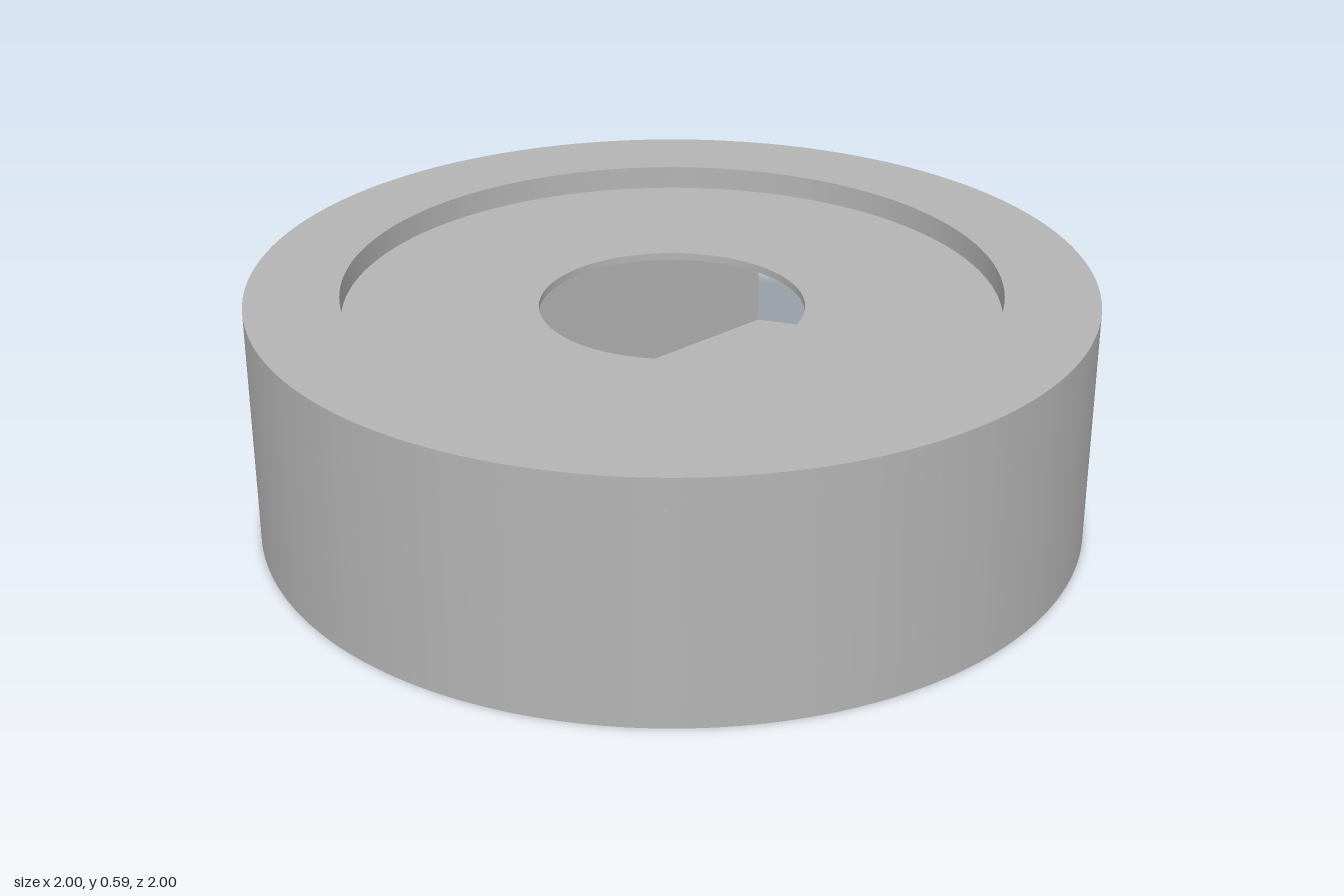
import * as THREE from 'three';
import { toCreasedNormals } from 'three/addons/utils/BufferGeometryUtils.js';

const SEGMENTS = 128;
const OUTER = 1;
const SLOT_HALF = 0.555; // half width of the slot open at the back
const SLOT_END = 0.52; // z of the slot's closed front wall

// Disc outline, with an optional round hole
function disc(holeRadius = 0) {
  const shape = new THREE.Shape().absarc(0, 0, OUTER, 0, Math.PI * 2, false);
  if (holeRadius) shape.holes.push(new THREE.Path().absarc(0, 0, holeRadius, 0, Math.PI * 2, true));
  return shape;
}

// Disc outline cut by a straight-walled slot (shape y is -z)
function slottedDisc() {
  const angle = Math.acos(SLOT_HALF / OUTER);
  const shape = new THREE.Shape();
  shape.absarc(0, 0, OUTER, angle, Math.PI - angle, true);
  shape.lineTo(-SLOT_HALF, -SLOT_END);
  shape.lineTo(SLOT_HALF, -SLOT_END);
  shape.closePath();
  return shape;
}

export function createModel() {
  const group = new THREE.Group();
  group.name = 'slottedHousing';
  const grey = new THREE.MeshStandardMaterial({ color: 0xb4b4b4 });
  grey.name = 'grey';

  // Each layer is an outline extruded upward between two heights
  const addLayer = (name, shape, bottom, top) => {
    const geometry = new THREE.ExtrudeGeometry(shape, {
      depth: top - bottom, bevelEnabled: false, curveSegments: SEGMENTS,
    });
    geometry.rotateX(-Math.PI / 2).translate(0, bottom, 0);
    const mesh = new THREE.Mesh(toCreasedNormals(geometry, 0.5), grey);
    mesh.name = name;
    group.add(mesh);
  };

  addLayer('basePlate', disc(), 0, 0.06);
  addLayer('slottedBody', slottedDisc(), 0.06, 0.512);
  addLayer('thinCover', disc(0.315), 0.512, 0.53);
  addLayer('raisedRim', disc(0.778), 0.53, 0.588);
  return group;
}
